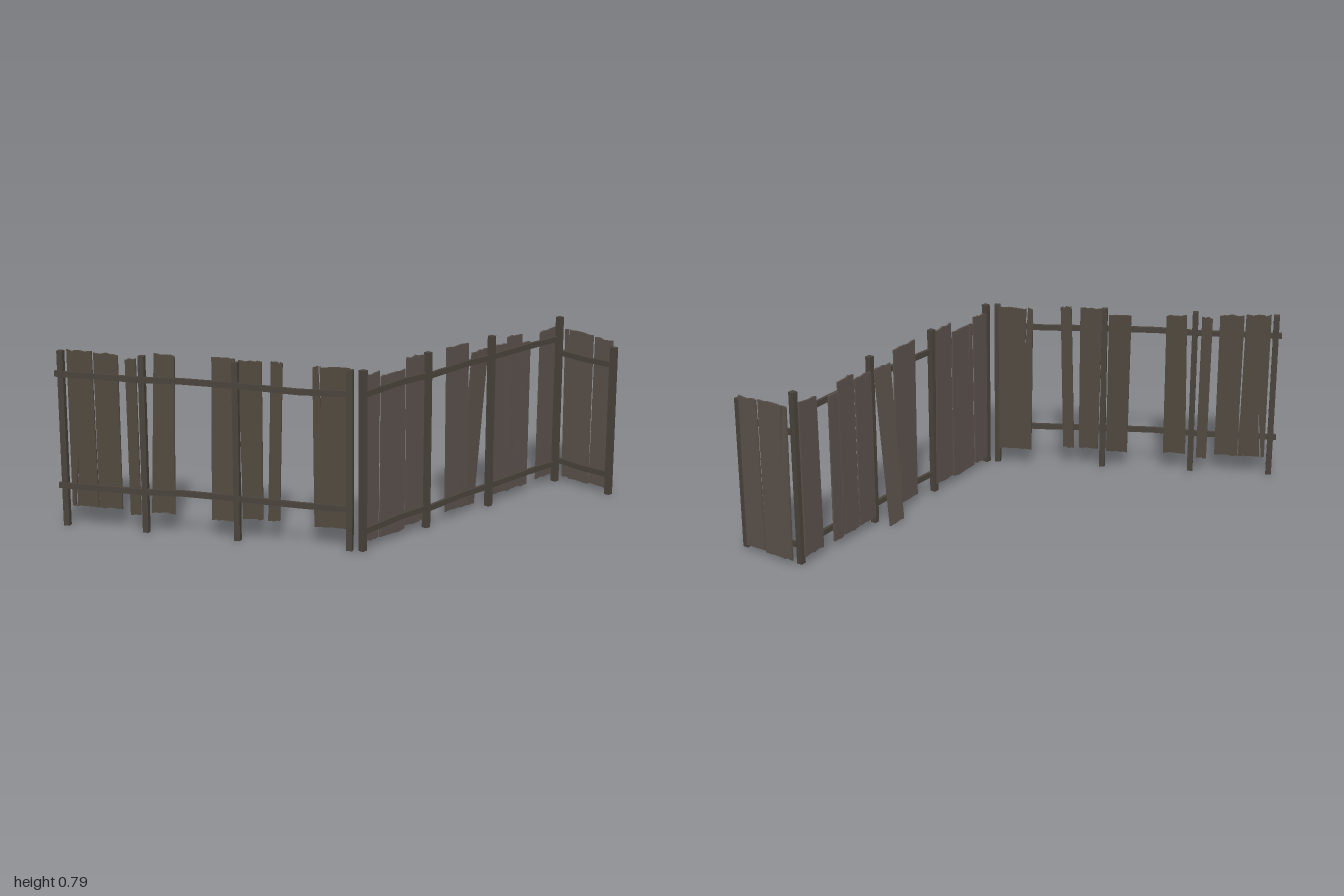
import * as THREE from 'three';

const mat = (name, color) => {
  const m = new THREE.MeshStandardMaterial({ color });
  m.name = name;
  return m;
};

export function createModel() {
  const olive = mat('weathered olive wood', 0x50493f);
  const brown = mat('weathered brown wood', 0x5a504a);
  const dark = mat('dark frame wood', 0x49433b);

  let seed = 7;
  const rand = () => (seed = (seed * 16807) % 2147483647) / 2147483647;
  const add = (parent, name, geometry, material) => {
    const m = new THREE.Mesh(geometry, material);
    m.name = name;
    parent.add(m);
    return m;
  };

  // One ragged end of a board, left to right, with an optional split running inwards.
  function raggedEnd(l, r, y, inward, rough, split) {
    const pts = [];
    const steps = [0, 0.22, 0.27, 0.5, 0.73, 0.78, 1];
    for (const t of steps) pts.push([l + (r - l) * t, y + inward * rand() * rough]);
    if (split) {
      const [f, drift, length] = split;
      const x = l + (r - l) * f;
      const kept = pts.filter(p => Math.abs(p[0] - x) > 0.006);
      kept.push([x - 0.004, y], [x + drift, y + inward * length], [x + 0.004, y]);
      // the split points stay together between their neighbours
      const left = kept.filter((p, i) => i < kept.length - 3 && p[0] < x);
      const right = kept.filter((p, i) => i < kept.length - 3 && p[0] > x);
      return [...left, ...kept.slice(-3), ...right];
    }
    return pts;
  }

  // Board: [topLeft, topRight, topY], [bottomLeft, bottomRight, bottomY], offsets at top and bottom
  function board(parent, toU, material, { top, bottom, w = [-0.012, -0.012], splitTop, splitBottom }) {
    const [tl, tr, ty] = top, [bl, br, by] = bottom;
    const up = raggedEnd(toU(tl, w[0]), toU(tr, w[0]), ty, -1, 0.01, splitTop);
    const low = raggedEnd(toU(bl, w[1]), toU(br, w[1]), by, 1, 0.008, splitBottom);
    const outline = [...low, ...up.reverse()].map(p => new THREE.Vector2(...p));
    const g = new THREE.ExtrudeGeometry(new THREE.Shape(outline), { depth: 0.008, bevelEnabled: false });
    // lean the board out of the fence plane
    const pos = g.attributes.position;
    for (let i = 0; i < pos.count; i++) {
      const t = (pos.getY(i) - by) / (ty - by);
      pos.setZ(i, pos.getZ(i) - 0.004 + w[1] + (w[0] - w[1]) * t);
    }
    g.computeVertexNormals();
    add(parent, 'board', g, material);
  }

  // Rail made of slightly crooked lengths through points [u, y, w]
  function rail(parent, points) {
    for (let i = 0; i < points.length - 1; i++) {
      const a = new THREE.Vector3(...points[i]), b = new THREE.Vector3(...points[i + 1]);
      const g = new THREE.BoxGeometry(a.distanceTo(b) + 0.004, 0.025, 0.014);
      const m = add(parent, 'rail', g, dark);
      m.position.copy(a).lerp(b, 0.5);
      m.quaternion.setFromUnitVectors(new THREE.Vector3(1, 0, 0), b.clone().sub(a).normalize());
    }
  }

  function section(name, x, z, turn, toU, material, { posts, rails, boards }) {
    const s = new THREE.Group();
    s.name = name;
    s.position.set(x, 0, z);
    s.rotation.y = turn;
    for (const [px, top, w = 0] of posts) {
      const g = new THREE.BoxGeometry(0.026, top - 0.01, 0.026);
      add(s, 'post', g, dark).position.set(toU(px, w), (top + 0.01) / 2, w);
    }
    for (const r of rails) rail(s, r.map(([rx, y, w]) => [toU(rx, w), y, w]));
    for (const b of boards) board(s, toU, material, b);
    return s;
  }

  const model = new THREE.Group();
  model.name = 'brokenFence';

  // Slanted front section, positions given along world x
  const angle = 0.508, c = Math.cos(angle), sn = Math.sin(angle);
  const slant = (x, w) => (x + 0.72 - sn * w) / c;
  model.add(section('slantedSection', -0.72, 0.975, angle, slant, olive, {
    posts: [[-0.72, 0.79], [-0.403, 0.79], [-0.045, 0.79], [0.383, 0.79]],
    rails: [
      [[-0.738, 0.69, 0.008], [-0.4, 0.688, 0.008], [-0.25, 0.694, 0.008], [-0.04, 0.692, 0.008], [0.2, 0.684, 0.008], [0.375, 0.69, 0.006]],
      [[-0.738, 0.193, 0.008], [-0.4, 0.193, 0.008], [-0.25, 0.201, 0.008], [-0.04, 0.199, 0.008], [0.2, 0.193, 0.008], [0.375, 0.193, 0.006]],
    ],
    boards: [
      { top: [-0.705, -0.607, 0.795], bottom: [-0.705, -0.6, 0.095], splitBottom: [0.15, 0.02, 0.26] },
      { top: [-0.6, -0.505, 0.79], bottom: [-0.597, -0.505, 0.095] },
      { top: [-0.477, -0.435, 0.775], bottom: [-0.473, -0.432, 0.075] },
      { top: [-0.395, -0.315, 0.792], bottom: [-0.388, -0.298, 0.095], w: [-0.05, -0.012] },
      { top: [-0.188, -0.1, 0.79], bottom: [-0.15, -0.065, 0.085], w: [-0.07, -0.008] },
      { top: [-0.045, 0.043, 0.8], bottom: [-0.035, 0.042, 0.1], w: [-0.016, -0.016] },
      { top: [0.077, 0.12, 0.8], bottom: [0.06, 0.105, 0.1], w: [-0.018, -0.018] },
      { top: [0.223, 0.36, 0.79], bottom: [0.228, 0.36, 0.088], w: [-0.03, -0.03], splitTop: [0.17, 0.008, 0.2] },
    ],
  }));

  // Long side section, positions given along world -z
  const straight = x => x;
  model.add(section('longSection', 0.425, 0, Math.PI / 2, straight, brown, {
    posts: [[-0.328, 0.79], [0.073, 0.79], [0.478, 0.79, 0.014], [0.962, 0.79, 0.014]],
    rails: [0.69, 0.097].map(y => [
      [-0.335, y - 0.005, 0], [-0.1, y + 0.004, -0.001], [0.07, y, 0], [0.075, y - 0.002, 0.006],
      [0.3, y + 0.005, 0.007], [0.478, y + 0.002, 0.008], [0.75, y + 0.003, 0.01], [0.975, y - 0.002, 0.01],
    ]),
    boards: [
      { top: [-0.312, -0.217, 0.765], bottom: [-0.312, -0.222, 0.035] },
      { top: [-0.205, -0.06, 0.742], bottom: [-0.21, -0.057, 0.03], splitTop: [0.12, 0.02, 0.24] },
      { top: [-0.048, 0.06, 0.79], bottom: [-0.048, 0.073, 0.04] },
      { top: [0.2, 0.343, 0.787], bottom: [0.205, 0.347, 0.042], w: [-0.006, -0.006], splitBottom: [0.88, -0.02, 0.26] },
      { top: [0.37, 0.475, 0.737], bottom: [0.375, 0.467, 0.004], w: [-0.006, -0.064] },
      { top: [0.497, 0.6, 0.737], bottom: [0.495, 0.597, 0.043], w: [-0.004, -0.004], splitTop: [0.35, 0.004, 0.14] },
      { top: [0.61, 0.71, 0.762], bottom: [0.607, 0.702, 0.037], w: [-0.004, -0.004] },
      { top: [0.715, 0.77, 0.712], bottom: [0.708, 0.77, 0.035], w: [-0.004, -0.004] },
      { top: [0.845, 0.952, 0.745], bottom: [0.84, 0.955, 0.04], w: [-0.004, -0.004] },
    ],
  }));

  // Short end section, positions given along world x
  model.add(section('shortSection', 0, -0.982, 0, straight, brown, {
    posts: [[0.732, 0.697, 0.005]],
    rails: [
      [[0.445, 0.618, 0], [0.6, 0.612, 0], [0.74, 0.614, 0]],
      [[0.445, 0.106, 0], [0.6, 0.099, 0], [0.74, 0.1, 0]],
    ],
    boards: [
      { top: [0.45, 0.605, 0.732], bottom: [0.457, 0.605, 0.025], splitTop: [0.14, 0.022, 0.27] },
      { top: [0.617, 0.713, 0.725], bottom: [0.612, 0.716, 0.025] },
    ],
  }));

  return model;
}
